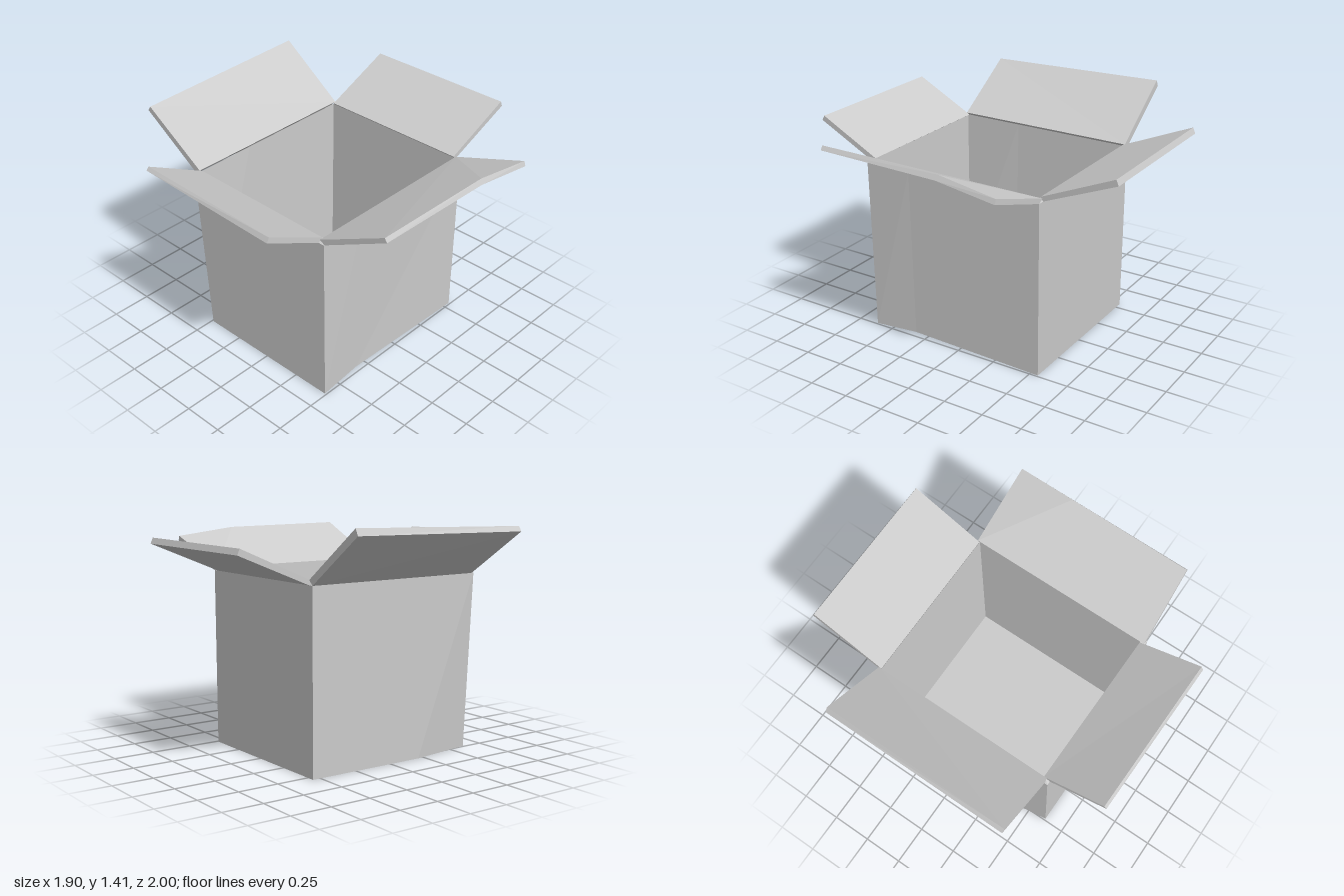
import * as THREE from 'three';

const material = new THREE.MeshStandardMaterial({ color: 0xcccccc, flatShading: true });

// Skins a list of rings (each counter-clockwise from above) and caps both ends.
function loft(name, rings) {
  const positions = [];
  const tri = (a, b, c) => positions.push(...a, ...b, ...c);
  const n = rings[0].length;
  for (let r = 0; r < rings.length - 1; r++) {
    const lo = rings[r], hi = rings[r + 1];
    for (let i = 0; i < n; i++) {
      const j = (i + 1) % n;
      tri(lo[i], lo[j], hi[j]);
      tri(lo[i], hi[j], hi[i]);
    }
  }
  const first = rings[0], last = rings[rings.length - 1];
  for (let i = 1; i < n - 1; i++) {
    tri(first[0], first[i + 1], first[i]);
    tri(last[0], last[i], last[i + 1]);
  }
  const geometry = new THREE.BufferGeometry();
  geometry.setAttribute('position', new THREE.Float32BufferAttribute(positions, 3));
  geometry.computeVertexNormals();
  const mesh = new THREE.Mesh(geometry, material);
  mesh.name = name;
  return mesh;
}

// Horizontal ring from [x, z] pairs.
const level = (y, points) => points.map(([x, z]) => [x, y, z]);

export function createModel() {
  const group = new THREE.Group();
  group.name = 'openCarton';

  // Hollow body: outer bottom, outer top, rim, inner floor; lower sides slightly dented
  const outerBottom = level(0, [[-0.49, 0.62], [0.49, 0.62], [0.475, 0.33], [0.49, -0.55], [-0.55, -0.55], [-0.55, 0.21]]);
  outerBottom[2][1] = 0.015;
  group.add(loft('boxBody', [
    outerBottom,
    level(1.08, [[-0.545, 0.63], [0.5, 0.63], [0.5, 0.33], [0.5, -0.55], [-0.55, -0.55], [-0.55, 0.21]]),
    level(1.1, [[-0.52, 0.6], [0.465, 0.6], [0.465, 0.33], [0.465, -0.535], [-0.52, -0.535], [-0.52, 0.21]]),
    level(0.03, [[-0.48, 0.57], [0.445, 0.575], [0.445, 0.33], [0.445, -0.505], [-0.505, -0.505], [-0.5, 0.21]]),
  ]));

  // Front flap: underside ring, then upper ring
  group.add(loft('frontFlap', [
    [[-0.52, 1.08, 0.63], [-0.52, 1.28, 0.985], [0.455, 1.265, 1.0], [0.46, 1.08, 0.63]],
    [[-0.52, 1.1, 0.59], [-0.52, 1.3, 0.97], [0.455, 1.295, 0.985], [0.46, 1.1, 0.6]],
  ]));

  // Back flap
  group.add(loft('backFlap', [
    [[0.46, 1.08, -0.55], [0.46, 1.265, -1.0], [-0.52, 1.265, -1.0], [-0.52, 1.08, -0.55]],
    [[0.46, 1.105, -0.535], [0.46, 1.3, -0.985], [-0.52, 1.3, -0.985], [-0.52, 1.105, -0.535]],
  ]));

  // Flap on the -x side
  group.add(loft('rightFlap', [
    [[-0.55, 1.08, -0.55], [-0.955, 1.37, -0.55], [-0.955, 1.35, 0.61], [-0.55, 1.08, 0.61]],
    [[-0.52, 1.11, -0.55], [-0.935, 1.41, -0.55], [-0.935, 1.38, 0.61], [-0.52, 1.11, 0.61]],
  ]));

  // Flap on the +x side, with its back corner bent down
  group.add(loft('leftFlap', [
    [[0.5, 1.08, -0.55], [0.5, 1.08, 0.625], [0.92, 1.29, 0.61], [0.93, 1.28, -0.17], [0.95, 1.235, -0.555]],
    [[0.465, 1.1, -0.55], [0.465, 1.1, 0.625], [0.905, 1.315, 0.61], [0.915, 1.31, -0.18], [0.94, 1.265, -0.555]],
  ]));

  return group;
}
